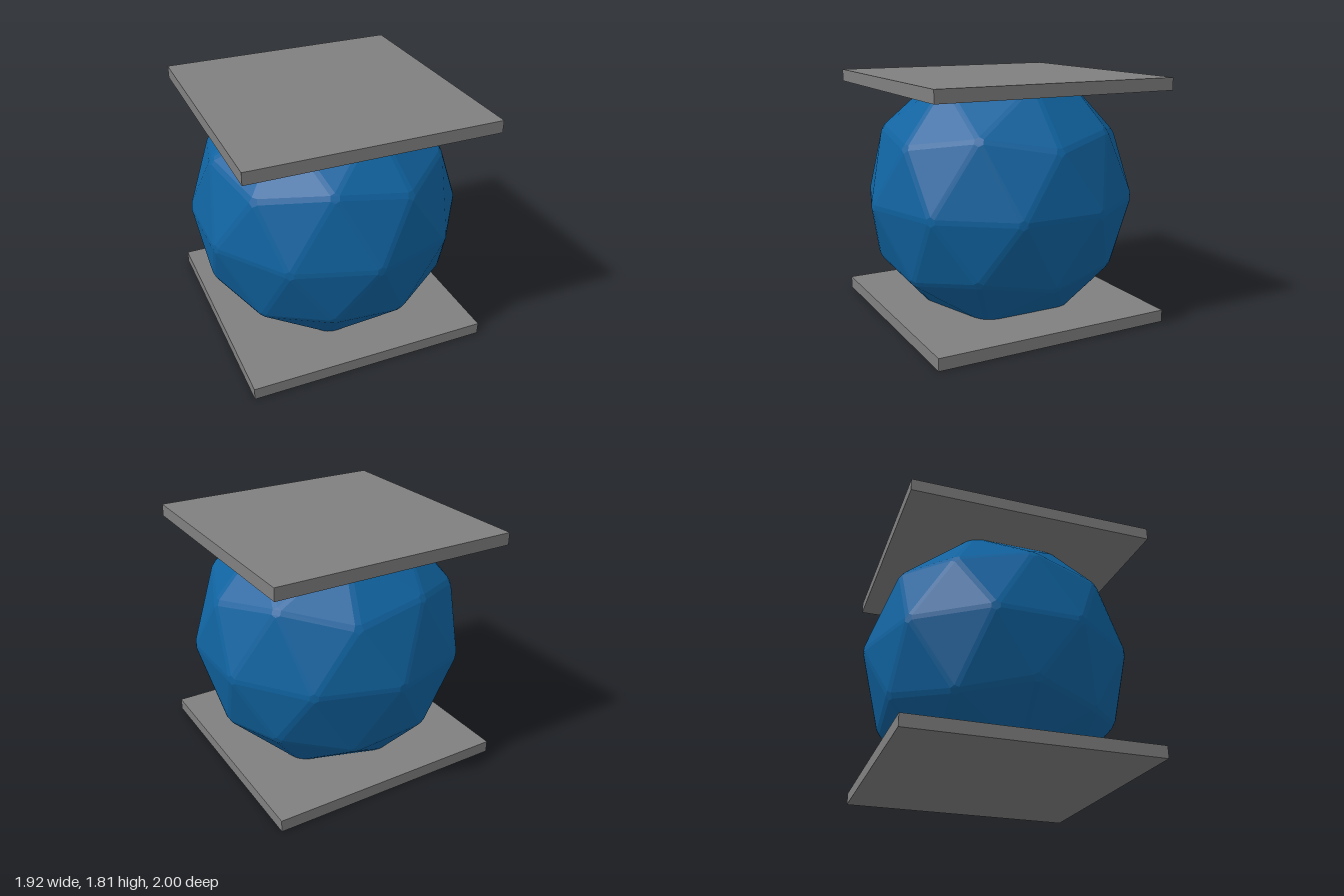
import * as THREE from 'three';
import { ConvexGeometry } from 'three/addons/geometries/ConvexGeometry.js';

const HEIGHT = 1.806, PLATE = 1.806, THICK = 0.09;
const RADIUS = 1.011, BEVEL = 0.038;

// Faceted ball: every triangle is shrunk a little, and the hull between them forms the bevels
function bevelledBall() {
  const ico = new THREE.IcosahedronGeometry(RADIUS, 1);
  ico.rotateZ(-Math.atan(2 / (1 + Math.sqrt(5)))); // a corner points straight up
  const pos = ico.attributes.position;
  const points = [];
  for (let i = 0; i < pos.count; i += 3) {
    const corners = [0, 1, 2].map(k => new THREE.Vector3().fromBufferAttribute(pos, i + k));
    const centre = new THREE.Vector3();
    corners.forEach(c => centre.addScaledVector(c, 1 / 3));
    for (const c of corners) {
      const p = c.clone().addScaledVector(centre.clone().sub(c).normalize(), BEVEL);
      // the poles are cut off inside the plates
      if (Math.abs(p.y) < 0.885) points.push(p);
    }
  }
  return new ConvexGeometry(points);
}

export function createModel() {
  const blue = new THREE.MeshStandardMaterial({ color: 0x1063a0 });
  blue.name = 'blue';
  const grey = new THREE.MeshStandardMaterial({ color: 0x808080 });
  grey.name = 'grey';

  const group = new THREE.Group();
  group.name = 'ballBetweenPlates';

  const ball = new THREE.Mesh(bevelledBall(), blue);
  ball.name = 'facetedBall';
  ball.position.y = HEIGHT / 2;
  group.add(ball);

  // Square plates above and below
  const plateGeometry = new THREE.BoxGeometry(PLATE, THICK, PLATE);
  for (const [name, y] of [['bottomPlate', THICK / 2], ['topPlate', HEIGHT - THICK / 2]]) {
    const plate = new THREE.Mesh(plateGeometry, grey);
    plate.name = name;
    plate.position.y = y;
    group.add(plate);
  }
  return group;
}
